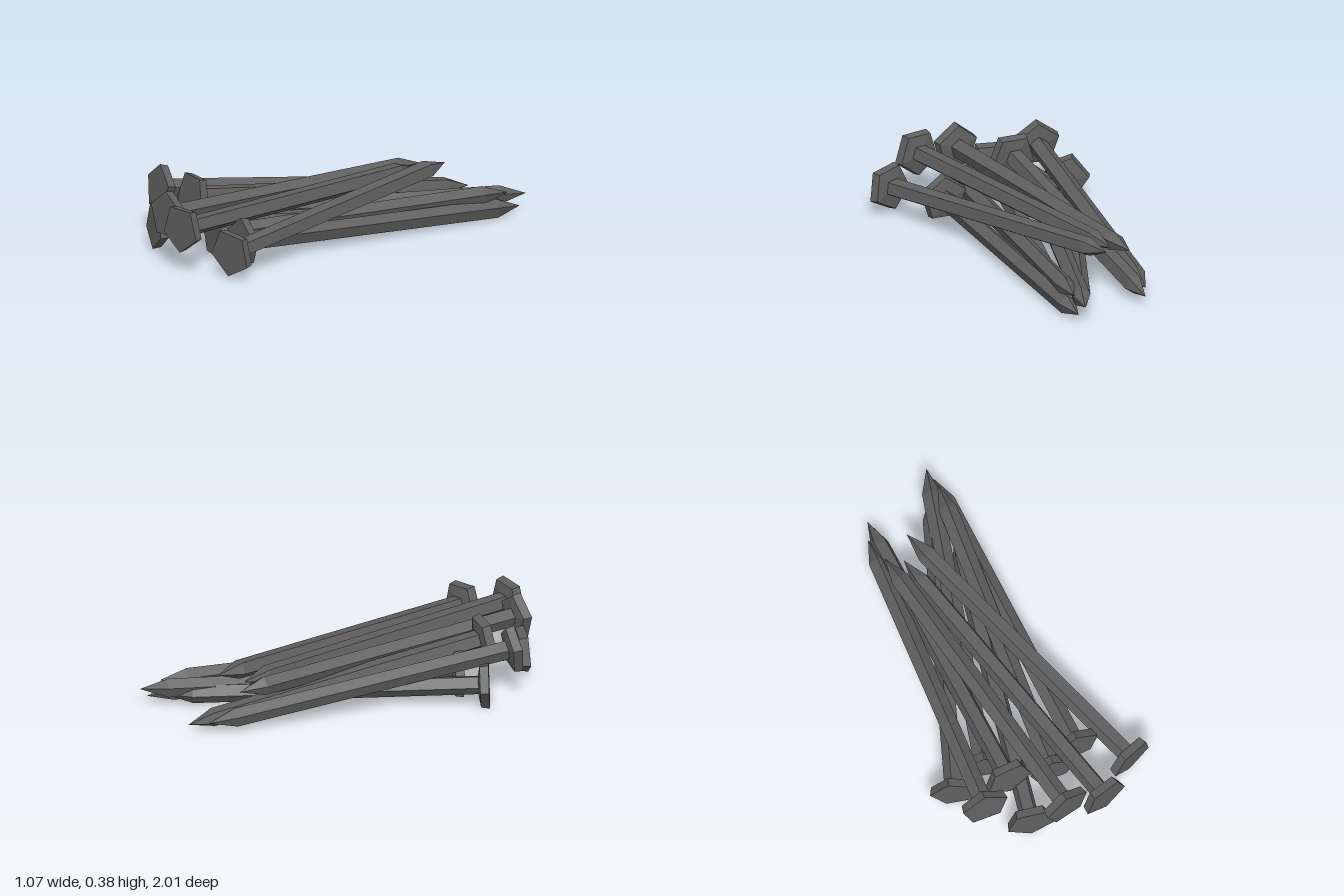
import * as THREE from 'three';

const LENGTH = 1.64;

// Each nail: centre of head face, tip, roll of the pentagon in degrees
const NAILS = [
  { head: [-0.38, 0.253, 0.685], tip: [0.04, 0.06, -0.88], roll: 0 },
  { head: [-0.43, 0.118, 0.49], tip: [0.45, 0.06, -0.91], roll: 16 },
  { head: [-0.19, 0.248, 0.63], tip: [0.10, 0.05, -0.97], roll: 36 },
  { head: [-0.215, 0.13, 0.85], tip: [0.42, 0.045, -0.66], roll: 36 },
  { head: [-0.04, 0.235, 0.92], tip: [0.02, 0.20, -0.72], roll: 2 },
  { head: [0.153, 0.223, 0.99], tip: [0.09, 0.21, -0.65], roll: 36 },
  { head: [0.045, 0.103, 0.68], tip: [0.49, 0.12, -0.90], roll: 0 },
  { head: [0.22, 0.103, 0.65], tip: [0.51, 0.04, -0.97], roll: 0 },
  { head: [0.405, 0.128, 0.875], tip: [0.18, 0.235, -0.75], roll: 28 },
  { head: [-0.224, 0.103, 0.46], tip: [0.49, 0.095, -0.99], roll: 0 },
];

// Five-sided turned part running along +z
function turned(profile) {
  const points = profile.map(([r, z]) => new THREE.Vector2(r, z));
  return new THREE.LatheGeometry(points, 5).rotateX(Math.PI / 2);
}

export function createModel() {
  const model = new THREE.Group();
  model.name = 'nailPile';
  const steel = new THREE.MeshStandardMaterial({ color: 0x5e5f5e, flatShading: true });
  steel.name = 'dark steel';

  // Shaft with a pointed end, and a flat head with a slanted underside
  const shaftGeometry = turned([[0, -LENGTH], [0.05, -LENGTH + 0.14], [0.05, -0.03]]);
  const headGeometry = turned([[0, -0.055], [0.06, -0.055], [0.118, -0.045], [0.126, 0], [0, 0]]);

  NAILS.forEach(({ head, tip, roll }, i) => {
    const face = new THREE.Vector3(...head);
    const axis = face.clone().sub(new THREE.Vector3(...tip)).normalize();
    const nail = new THREE.Group();
    nail.name = `nail${i + 1}`;
    const shaft = new THREE.Mesh(shaftGeometry, steel);
    shaft.name = 'shaft';
    const cap = new THREE.Mesh(headGeometry, steel);
    cap.name = 'head';
    nail.add(shaft, cap);
    nail.position.copy(face);
    nail.rotation.set(
      -Math.asin(axis.y),
      Math.atan2(axis.x, axis.z),
      Math.PI + THREE.MathUtils.degToRad(roll),
      'YXZ'
    );
    model.add(nail);
  });
  return model;
}
